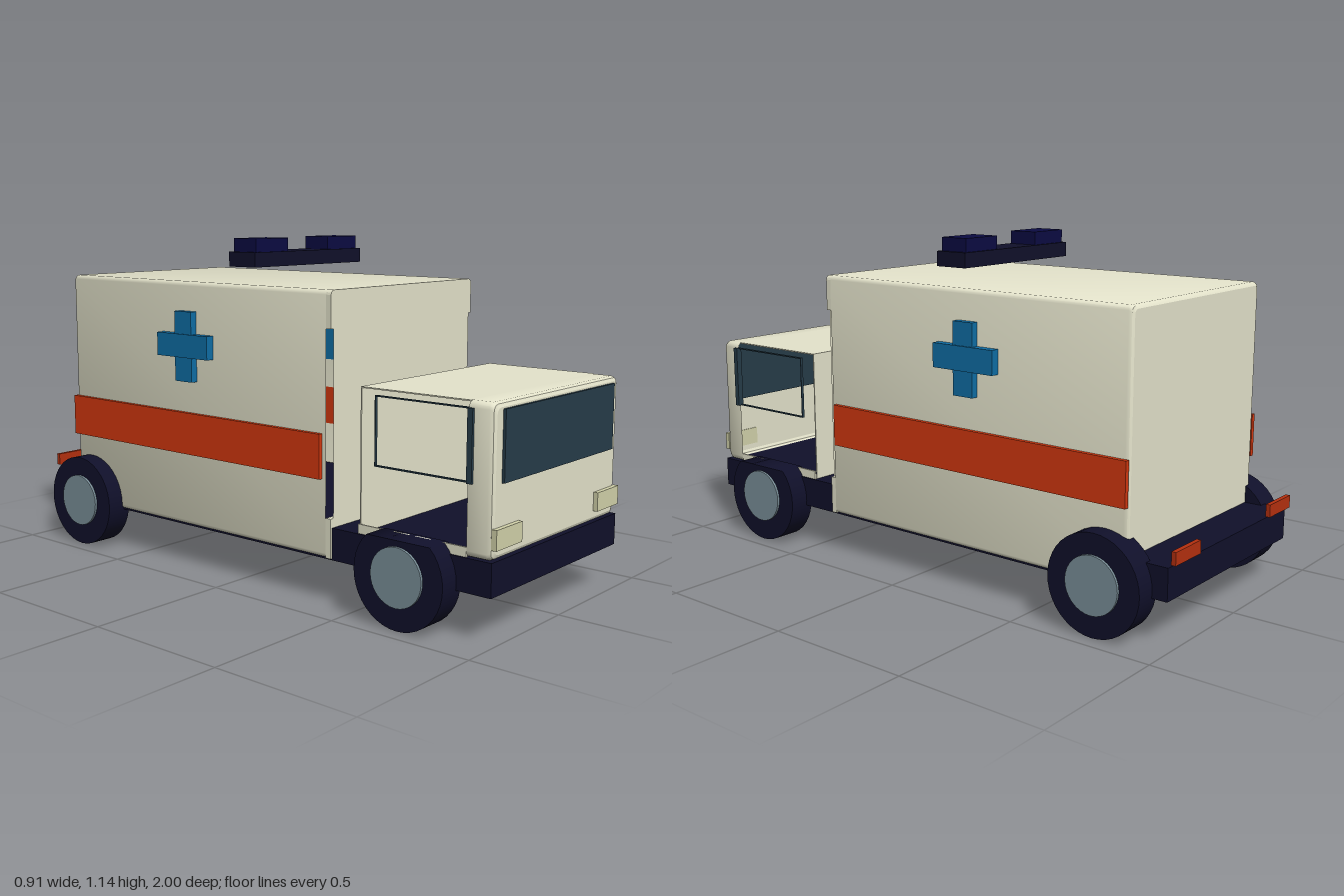
import * as THREE from 'three';
import { toCreasedNormals } from 'three/addons/utils/BufferGeometryUtils.js';

const mat = (name, color, side = THREE.FrontSide) => {
  const m = new THREE.MeshStandardMaterial({ color, side });
  m.name = name;
  return m;
};

// Rounded rectangle outline, counter-clockwise, shrunk by inset
function outline(hw, y0, y1, r, inset) {
  const pts = [], w = hw - inset - r, b = y0 + inset + r, t = y1 - inset - r;
  [[w, b, -1], [w, t, 0], [-w, t, 1], [-w, b, 2]].forEach(([x, y, q]) => {
    for (let i = 0; i <= 3; i++) {
      const a = (q + i / 3) * Math.PI / 2;
      pts.push(new THREE.Vector2(x + r * Math.cos(a), y + r * Math.sin(a)));
    }
  });
  return pts;
}

// Open shell through outlines at successive z values, front to back
function loft(sections) {
  const pos = [], idx = [], n = sections[0].pts.length;
  sections.forEach(({ pts, z }) => pts.forEach(p => pos.push(p.x, p.y, z)));
  for (let s = 0; s < sections.length - 1; s++) {
    for (let j = 0; j < n; j++) {
      const a = s * n + j, b = s * n + (j + 1) % n, c = a + n, d = b + n;
      idx.push(a, c, b, b, c, d);
    }
  }
  const g = new THREE.BufferGeometry();
  g.setAttribute('position', new THREE.Float32BufferAttribute(pos, 3));
  g.setIndex(idx);
  return toCreasedNormals(g, 0.6);
}

export function createModel() {
  const root = new THREE.Group();
  root.name = 'ambulance';
  const cream = mat('cream body paint', 0xe4e3cb, THREE.DoubleSide);
  const navy = mat('dark navy', 0x10102a);
  const glass = mat('dark glass', 0x263c49, THREE.DoubleSide);
  const orange = mat('orange stripe', 0xd4380f);
  const blue = mat('blue cross', 0x0f6ea6);
  const beacon = mat('deep blue beacon', 0x0b0b42);
  const lamp = mat('pale headlight', 0xd2d2aa);
  const red = mat('red tail light', 0xb5300f);
  const steel = mat('grey hub', 0x7a8f99);

  const add = (name, geo, m) => {
    const mesh = new THREE.Mesh(geo, m);
    mesh.name = name;
    root.add(mesh);
    return mesh;
  };
  // Box given by its limits on each axis
  const box = (name, m, x0, x1, y0, y1, z0, z1) => {
    const lo = Math.min(x0, x1), hi = Math.max(x0, x1);
    const mesh = add(name, new THREE.BoxGeometry(hi - lo, y1 - y0, z1 - z0), m);
    mesh.position.set((lo + hi) / 2, (y0 + y1) / 2, (z0 + z1) / 2);
    return mesh;
  };
  const sheet = (name, pts, z) => {
    const mesh = add(name, new THREE.ShapeGeometry(new THREE.Shape(pts)), cream);
    mesh.position.z = z;
    return mesh;
  };

  // Chassis
  box('chassis', navy, -0.377, 0.377, 0.145, 0.25, -0.98, 0.99);

  // Hollow rear body, open at the door slots in its front corners
  const bodyOutline = d => outline(0.385, 0.15, 1, 0.015, d);
  add('rearBody', loft([
    { pts: bodyOutline(0), z: 0.38 },
    { pts: bodyOutline(0), z: -0.83 },
    { pts: bodyOutline(0.004), z: -0.84 },
    { pts: bodyOutline(0.012), z: -0.845 },
  ]), cream);
  sheet('rearWall', bodyOutline(0.012), -0.845);
  const lid = outline(0.385, 0.15, 1, 0.015, 0).filter(p => p.y > 0.9);
  lid.unshift(new THREE.Vector2(0.385, 0.88));
  lid.push(new THREE.Vector2(-0.385, 0.88));
  const lidMesh = add('frontTopBand',
    new THREE.ExtrudeGeometry(new THREE.Shape(lid), { depth: 0.02, bevelEnabled: false }), cream);
  lidMesh.position.z = 0.38;
  box('frontBottomBand', cream, -0.385, 0.385, 0.15, 0.28, 0.38, 0.4);
  sheet('bulkhead', [[-0.372, 0.28], [0.372, 0.28], [0.372, 0.88], [-0.372, 0.88]]
    .map(p => new THREE.Vector2(...p)), 0.4);

  // Cab: rounded nose, thin roof, rear wall and low sills around open doorways
  const cabOutline = d => outline(0.372, 0.25, 0.71, 0.02, d);
  add('cabNose', loft([
    { pts: cabOutline(0.015), z: 0.985 },
    { pts: cabOutline(0.005), z: 0.98 },
    { pts: cabOutline(0), z: 0.968 },
    { pts: cabOutline(0), z: 0.9 },
  ]), cream);
  sheet('cabFront', cabOutline(0.015), 0.985);
  box('cabRoof', cream, -0.362, 0.362, 0.706, 0.71, 0.5, 0.9);
  box('cabRearWall', cream, -0.362, 0.362, 0.25, 0.71, 0.5, 0.504);
  box('windscreen', glass, -0.327, 0.327, 0.475, 0.69, 0.986, 0.995);
  box('windscreenInside', glass, -0.327, 0.327, 0.475, 0.69, 0.975, 0.98);

  // Light bar
  box('lightBar', navy, -0.28, 0.28, 1.05, 1.1, -0.138, -0.018);

  // Tyre; the front ones are flattened under the doorway
  const tyre = top => {
    const g = new THREE.CylinderGeometry(0.164, 0.164, 0.093, 40).rotateZ(Math.PI / 2);
    const p = g.attributes.position;
    for (let i = 0; i < p.count; i++) p.setY(i, Math.min(p.getY(i), top - 0.165));
    return g;
  };

  for (const s of [1, -1]) {
    const side = s > 0 ? 'left' : 'right';
    // Wheels
    for (const [end, z, top] of [['Front', 0.707, 0.28], ['Rear', -0.765, 1]]) {
      add(side + end + 'Tyre', tyre(top), navy).position.set(s * 0.4, 0.165, z);
      add(side + end + 'Hub', new THREE.CylinderGeometry(0.094, 0.094, 0.012, 32).rotateZ(Math.PI / 2), steel)
        .position.set(s * 0.449, 0.168, z);
    }
    // Sill and slim window frame
    box(side + 'Sill', cream, s * 0.366, s * 0.372, 0.25, 0.28, 0.5, 0.9);
    box(side + 'WindowPost', glass, s * 0.36, s * 0.381, 0.47, 0.69, 0.9, 0.918);
    for (const y of [0.47, 0.686])
      box(side + 'WindowRail', glass, s * 0.36, s * 0.37, y, y + 0.004, 0.56, 0.9);
    box(side + 'WindowRearEdge', glass, s * 0.36, s * 0.37, 0.47, 0.69, 0.56, 0.563);
    // Side stripe and cross
    box(side + 'Stripe', orange, s * 0.384, s * 0.4, 0.405, 0.55, -0.843, 0.365);
    box(side + 'CrossUpright', blue, s * 0.384, s * 0.41, 0.66, 0.9, -0.275, -0.195);
    box(side + 'CrossBar', blue, s * 0.384, s * 0.415, 0.743, 0.823, -0.358, -0.115);
    // Lamps
    box(side + 'Headlight', lamp, s * 0.23, s * 0.37, 0.285, 0.347, 0.982, 1);
    box(side + 'TailLight', red, s * 0.225, s * 0.37, 0.258, 0.3, -1, -0.985);
    box(side + 'Beacon', beacon, s * 0.105, s * 0.265, 1.1, 1.145, -0.13, -0.026);
  }
  return root;
}
